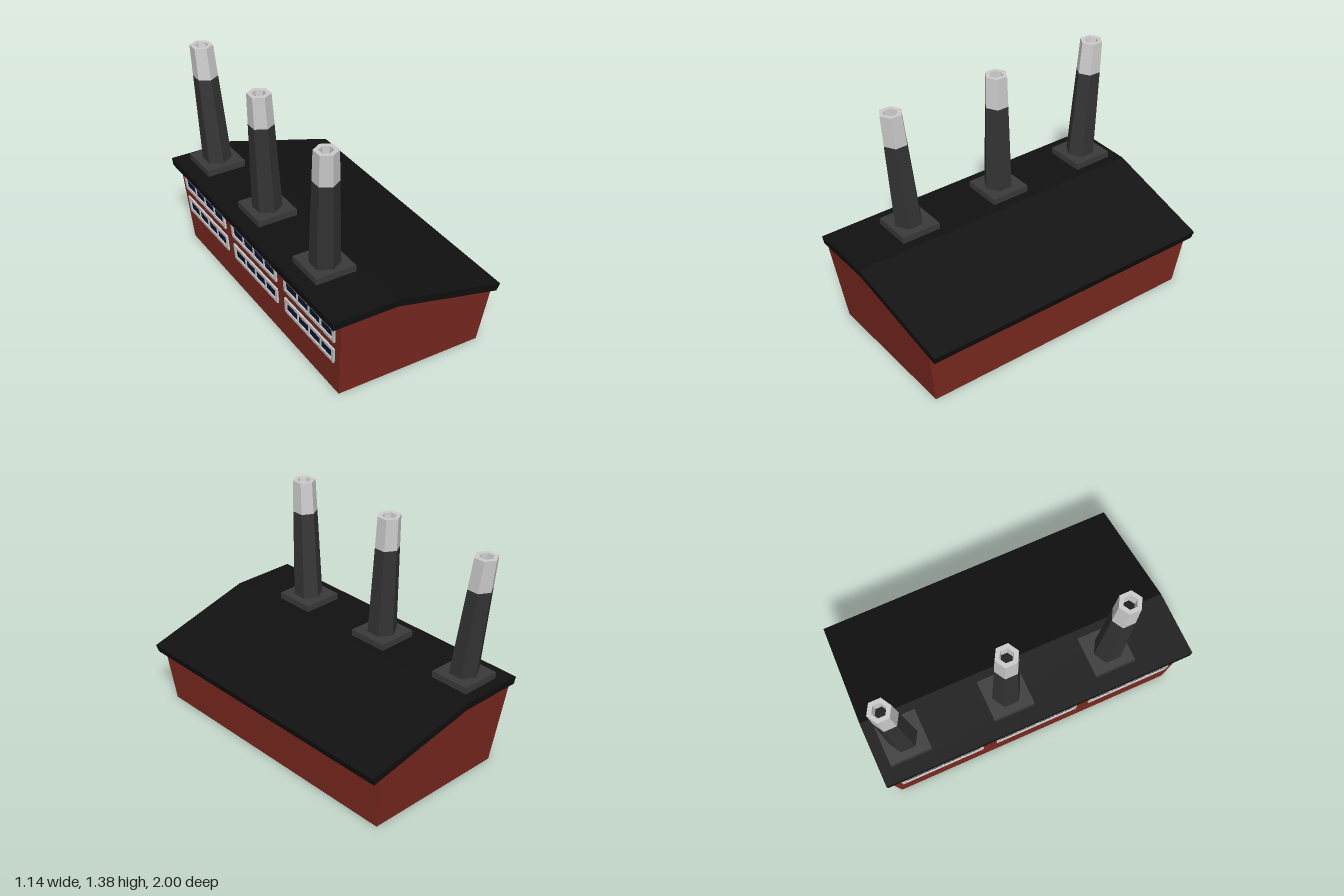
import * as THREE from 'three';
import { mergeGeometries } from 'three/addons/utils/BufferGeometryUtils.js';

const material = (color) => new THREE.MeshStandardMaterial({ color, flatShading: true });
const brick = material(0x7e2a20);
const tar = material(0x111111);
const soot = material(0x333333);
const plinth = material(0x3a3a3a);
const grey = material(0xcccccc);
const glassBlue = material(0x0a1630);

// The building flares outward with height
const halfZ = (y) => 0.915 + 0.147 * y;
const wallX = (y) => -0.483 - 0.066 * y;

// Move every vertex of a geometry by a rule
function warp(geometry, rule) {
  const p = geometry.attributes.position;
  const v = new THREE.Vector3();
  for (let i = 0; i < p.count; i++) {
    rule(v.fromBufferAttribute(p, i));
    p.setXYZ(i, v.x, v.y, v.z);
  }
  geometry.computeVertexNormals();
  return geometry;
}

function add(parent, name, geometry, mat) {
  const mesh = new THREE.Mesh(geometry, mat);
  mesh.name = name;
  parent.add(mesh);
  return mesh;
}

// Profile extruded along z between the two flaring gables
function gablePrism(points) {
  const shape = new THREE.Shape(points.map(([x, y]) => new THREE.Vector2(x, y)));
  const geometry = new THREE.ExtrudeGeometry(shape, { depth: 1, bevelEnabled: false });
  return warp(geometry, (v) => { v.z = (v.z > 0.5 ? 1 : -1) * halfZ(v.y); });
}

// Box fixed to the flaring window wall, standing out by depth
function wallBox(depth, height, width, y, z) {
  const geometry = new THREE.BoxGeometry(depth + 0.01, height, width);
  geometry.translate((0.01 - depth) / 2, y, z);
  return warp(geometry, (v) => {
    v.x += wallX(v.y);
    v.z *= halfZ(v.y) / halfZ(0.43);
  });
}

function createWindow(y, z) {
  const group = new THREE.Group();
  group.name = 'window';
  const w = 0.556, h = 0.105, border = 0.022, bar = 0.014;
  const frame = [];
  for (const s of [-1, 1]) {
    frame.push(wallBox(0.011, border, w, y + s * (h - border) / 2, z));
    frame.push(wallBox(0.011, h - 2 * border, border, y, z + s * (w - border) / 2));
  }
  // Three mullions make four panes
  for (const i of [-1, 0, 1]) {
    frame.push(wallBox(0.008, h - 2 * border, bar, y, z + i * (w - 2 * border) / 4));
  }
  add(group, 'windowFrame', mergeGeometries(frame), grey);
  add(group, 'windowGlass', wallBox(0.003, h - border, w - border, y, z), glassBlue);
  return group;
}

// Hexagonal leaning chimney with a pale hollow tip
function createChimney(baseZ, bottomZ, topZ) {
  const group = new THREE.Group();
  group.name = 'chimney';
  const y0 = 0.61, y1 = 1.18, y2 = 1.38;
  const radius = (y) => 0.092 - 0.02 * (y - y0) / (y2 - y0);
  const lean = (v) => {
    const t = (v.y - y0) / (y2 - y0);
    v.x += THREE.MathUtils.lerp(-0.344, -0.37, t);
    v.z += THREE.MathUtils.lerp(bottomZ, topZ, t);
  };
  const lathe = (profile) => warp(
    new THREE.LatheGeometry(profile.map(([r, y]) => new THREE.Vector2(r, y)), 6), lean);

  const base = add(group, 'chimneyBase', new THREE.BoxGeometry(0.26, 0.05, 0.26), plinth);
  base.position.set(-0.343, 0.597, baseZ);
  add(group, 'chimneyShaft', lathe([[radius(y0), y0], [radius(y1), y1]]), soot);
  add(group, 'chimneyTip', lathe([
    [radius(y1), y1], [radius(y2), y2], [0.043, y2], [0.036, y2 - 0.06],
  ]), grey);
  add(group, 'chimneyFlue', lathe([[0.036, y2 - 0.06], [0, y2 - 0.06]]), tar);
  return group;
}

export function createModel() {
  const model = new THREE.Group();
  model.name = 'factory';

  add(model, 'walls', gablePrism([
    [-0.483, 0], [0.468, 0], [0.502, 0.363], [-0.155, 0.532], [-0.518, 0.532],
  ]), brick);
  add(model, 'roof', gablePrism([
    [-0.567, 0.532], [-0.155, 0.532], [0.549, 0.352],
    [0.565, 0.402], [-0.15, 0.581], [-0.571, 0.581],
  ]), tar);

  // Two rows of three windows on the tall long wall
  for (const y of [0.432, 0.271]) {
    for (const z of [-0.647, 0, 0.647]) model.add(createWindow(y, z));
  }

  // Outer chimneys lean apart
  model.add(createChimney(0.527, 0.535, 0.595));
  model.add(createChimney(-0.137, -0.134, -0.145));
  model.add(createChimney(-0.8, -0.797, -0.884));
  return model;
}
